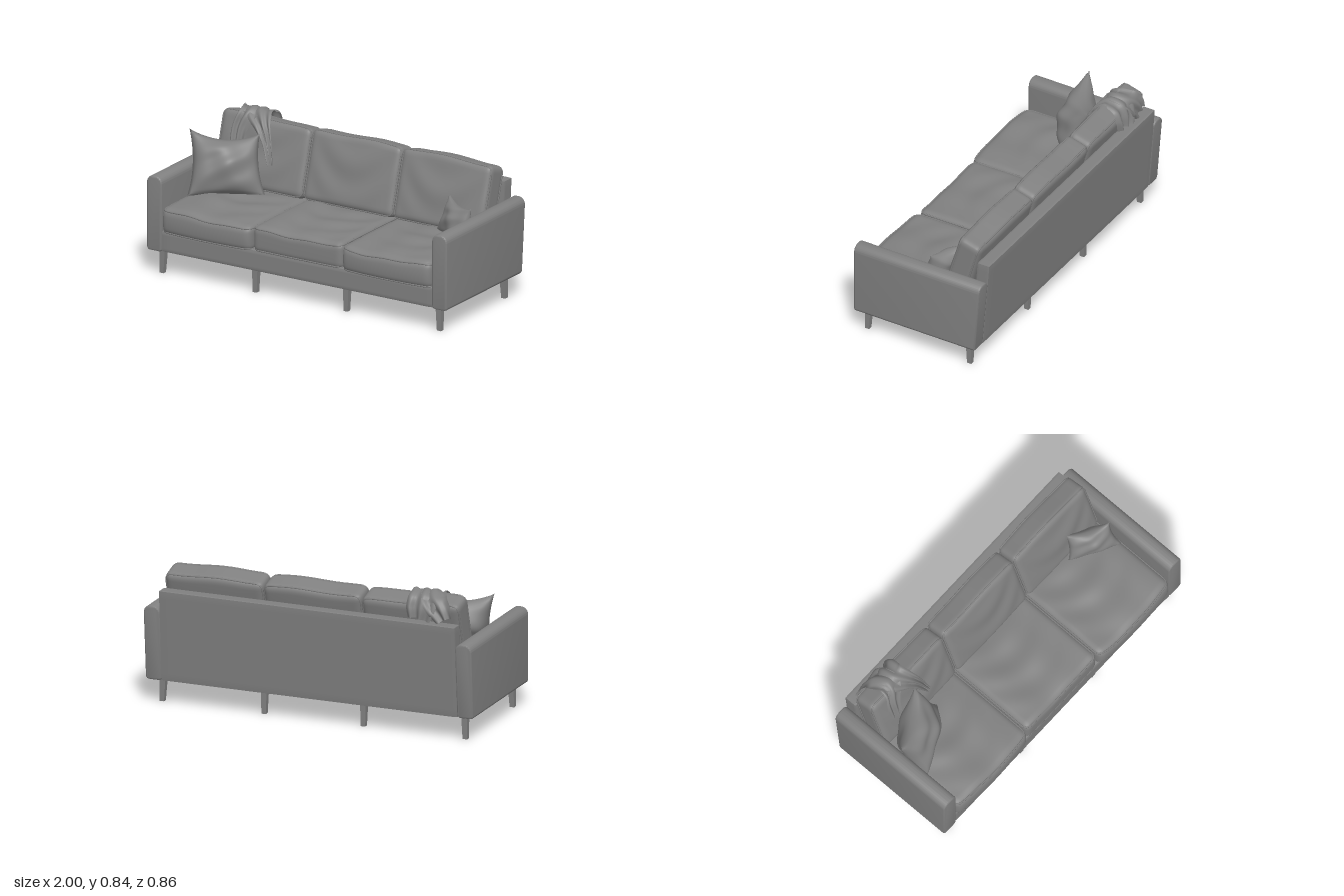
import * as THREE from 'three';
import { mergeVertices, toCreasedNormals } from 'three/addons/utils/BufferGeometryUtils.js';

const V = (x, y, z) => new THREE.Vector3(x, y, z);
const fabric = new THREE.MeshStandardMaterial({ color: 0x808080 });
const cloth = new THREE.MeshStandardMaterial({ color: 0x808080, side: THREE.DoubleSide });

function add(parent, name, geometry, material = fabric) {
  const mesh = new THREE.Mesh(geometry, material);
  mesh.name = name;
  parent.add(mesh);
  return mesh;
}

// Move every vertex by a rule, then weld and smooth
function mould(geometry, rule) {
  const pos = geometry.attributes.position, p = V(0, 0, 0);
  for (let i = 0; i < pos.count; i++) {
    p.fromBufferAttribute(pos, i);
    rule(p);
    pos.setXYZ(i, p.x, p.y, p.z);
  }
  geometry.deleteAttribute('uv');
  geometry.deleteAttribute('normal');
  const welded = mergeVertices(geometry, 1e-5);
  welded.computeVertexNormals();
  return welded;
}

// Box rounded by radius r, then shaped by an extra rule
function softBox(w, h, d, r, segs, rule) {
  const inner = V(w / 2 - r, h / 2 - r, d / 2 - r), core = V(0, 0, 0);
  return mould(new THREE.BoxGeometry(w, h, d, ...segs), p => {
    core.copy(p).clamp(inner.clone().negate(), inner);
    p.sub(core).setLength(r).add(core);
    rule(p);
  });
}

// Closed piping cord on a rounded rectangle, following the cushion's rule
function piping(a, b, r, place, rule) {
  const pts = [];
  for (const [sx, sy, start] of [[1, 1, 0], [-1, 1, 1], [-1, -1, 2], [1, -1, 3]]) {
    for (let k = 0; k <= 4; k++) {
      const t = (start + k / 4) * Math.PI / 2;
      pts.push([sx * (a - r) + r * Math.cos(t), sy * (b - r) + r * Math.sin(t)]);
    }
    const horizontal = sx * sy > 0;
    for (let k = 1; k < 8; k++) {
      const f = 1 - k / 4;
      pts.push(horizontal ? [sx * (a - r) * f, sy * b] : [sx * a, sy * (b - r) * f]);
    }
  }
  const path = pts.map(([u, v]) => { const p = place(u, v); rule(p); return p; });
  return new THREE.TubeGeometry(new THREE.CatmullRomCurve3(path, true), 120, 0.0055, 6, true);
}

// Stuffed pillow spanned by four corners: top left, top right, bottom left, bottom right
function pillow(tl, tr, bl, br, thick, n = 28) {
  const normal = tr.clone().sub(bl).cross(tl.clone().sub(br)).normalize();
  return mould(new THREE.BoxGeometry(2, 2, 1, n, n, 1), p => {
    const side = Math.sign(p.z), fx = 1 - p.x * p.x, fy = 1 - p.y * p.y;
    const pinch = p.y > 0 ? 0.26 : 0.1;
    const u = (1 + p.x * (1 - 0.12 * fy)) / 2, v = (1 + p.y * (1 - pinch * fx)) / 2;
    const crease = 1 + 0.14 * Math.sin(5 * p.x - 3 * p.y + side) * Math.cos(4 * p.y + p.x);
    const bulge = side * thick / 2 * Math.pow(fx * fy, 0.6) * crease;
    const top = tl.clone().lerp(tr, u), bottom = bl.clone().lerp(br, u);
    p.copy(bottom.lerp(top, v)).addScaledVector(normal, bulge + 0.012 * Math.sin(4 * p.x + 3 * p.y) * fy);
  });
}

// Draped strip of cloth: path points, widths along it, ripple depth
function drape(points, widths, ripple, folds) {
  const curve = new THREE.CatmullRomCurve3(points);
  return mould(new THREE.PlaneGeometry(1, 1, 24, 40), p => {
    const s = p.x, t = p.y + 0.5;
    const f = t * (widths.length - 1), i = Math.min(Math.floor(f), widths.length - 2);
    const w = THREE.MathUtils.lerp(widths[i], widths[i + 1], f - i);
    const tangent = curve.getTangent(t);
    const across = V(1, 0, 0).addScaledVector(tangent, -tangent.x).normalize();
    const out = across.clone().cross(tangent).normalize();
    const wave = Math.sin(s * folds * 2 * Math.PI + 3 * t) + 0.4 * Math.sin(s * 17 + t * 9);
    p.copy(curve.getPoint(t)).addScaledVector(across, s * w).addScaledVector(out, ripple * wave);
    p.y -= 0.05 * s * s;
  });
}

export function createModel() {
  const sofa = new THREE.Group();
  sofa.name = 'sofa';
  const slant = (p, z0) => { if (p.z < z0) p.z -= 0.08 * (p.y - 0.14); };

  // Arms: rounded front profile run along z, with a raked rear
  for (const s of [-1, 1]) {
    const w = 0.041, lo = 0.146, hi = 0.571, r = 0.034, q = 0.012, b = 0.009;
    const shape = new THREE.Shape();
    shape.absarc(w - r, hi - r, r, 0, Math.PI / 2);
    shape.absarc(-w + r, hi - r, r, Math.PI / 2, Math.PI);
    shape.absarc(-w + q, lo + q, q, Math.PI, Math.PI * 1.5);
    shape.absarc(w - q, lo + q, q, Math.PI * 1.5, Math.PI * 2);
    const geo = new THREE.ExtrudeGeometry(shape, {
      depth: 0.769, bevelEnabled: true, bevelSize: b, bevelThickness: b, bevelSegments: 3, curveSegments: 8,
    });
    geo.translate(s * 0.95, 0, -0.379);
    const arm = mould(geo, p => slant(p, 0));
    add(sofa, s > 0 ? 'leftArm' : 'rightArm', toCreasedNormals(arm, 0.7));
  }

  // Base under the seat and raked back panel
  const base = softBox(1.81, 0.125, 0.765, 0.012, [60, 10, 50], p => { p.y += 0.2005; p.z += 0.0125; });
  add(sofa, 'base', toCreasedNormals(base, 0.6));
  const panel = softBox(1.806, 0.538, 0.08, 0.007, [60, 24, 10], p => {
    p.y += 0.407;
    p.z += -0.349;
    slant(p, 1);
  });
  add(sofa, 'backPanel', toCreasedNormals(panel, 0.6));

  // Seat and back cushions, three of each
  [-1, 0, 1].forEach((k, i) => {
    const x0 = k * 0.6, forward = k ? 0.028 : 0.003;
    const seatRule = p => {
      const fx = Math.max(0, 1 - (p.x / 0.3) ** 2), fz = Math.max(0, 1 - (p.z / 0.31) ** 2);
      const up = THREE.MathUtils.smoothstep(p.y, -0.07, 0.07);
      const front = THREE.MathUtils.smoothstep(p.z, 0.1, 0.3);
      p.y += up * (0.022 * Math.sqrt(fx * fz) - 0.006 * Math.cos(p.x * 9 + k)
        + 0.006 * fx * fz * Math.sin(30 * p.z + 60 * p.x * p.x + k) + 0.003 * Math.sin(p.x * 24 + 2 * k));
      p.z += front * (forward * Math.sqrt(fx) + 0.01 * Math.max(0, 1 - (p.y / 0.075) ** 2) * (k ? 1 : 0.2));
    };
    const seat = new THREE.Group();
    seat.name = 'seatCushion' + (i + 1);
    seat.position.set(x0, 0.323, 0.084);
    add(seat, 'seatPad', softBox(0.596, 0.148, 0.62, 0.035, [40, 14, 40], seatRule));
    for (const y of [-0.06, 0.06])
      add(seat, 'seatPiping', piping(0.293, 0.304, 0.035, (u, v) => V(u, y, v), seatRule));
    sofa.add(seat);

    const backRule = p => {
      const fx = Math.max(0, 1 - (p.x / 0.3) ** 2), fy = Math.max(0, 1 - (p.y / 0.21) ** 2);
      const top = THREE.MathUtils.smoothstep(p.y, 0, 0.2), side = p.z / 0.07;
      p.z += side * 0.014 * Math.sqrt(fx * fy)
        + (p.z > 0 ? 0.006 * fx * fy * Math.sin(26 * p.y - 80 * p.x * p.x + 2 * k) : 0);
      p.y += top * (0.006 * fx + 0.004 * Math.sin(14 * p.x + 2 * k) + (k < 0 ? 0.003 - 0.04 * p.x : -0.015 * p.x * k));
    };
    const back = new THREE.Group();
    back.name = 'backCushion' + (i + 1);
    back.position.set(x0, 0.588, -0.243);
    back.rotation.x = -0.28;
    add(back, 'backPad', softBox(0.596, 0.405, 0.14, 0.032, [40, 28, 14], backRule));
    for (const z of [-0.056, 0.056])
      add(back, 'backPiping', piping(0.293, 0.197, 0.035, (u, v) => V(u, v, z), backRule));
    sofa.add(back);
  });

  // Eight tapered legs, vertical on their outer faces
  for (const x of [-0.92, -0.303, 0.303, 0.92]) for (const s of [-1, 1]) {
    const sx = Math.abs(x) > 0.5 ? Math.sign(x) : 0;
    const geo = new THREE.BoxGeometry(0.036, 0.145, 0.036);
    const leg = mould(geo, p => {
      if (p.y < 0) { p.x = p.x * 0.75 + sx * 0.0045; p.z = p.z * 0.75 + s * 0.0045; }
    });
    add(sofa, s > 0 ? 'frontLeg' : 'backLeg', toCreasedNormals(leg, 0.5))
      .position.set(x, 0.0725, s > 0 ? 0.344 : -0.315);
  }

  // Loose pillows leaning in the corners
  add(sofa, 'largePillow', pillow(V(-0.95, 0.755, 0.03), V(-0.61, 0.73, -0.17),
    V(-0.88, 0.405, 0.165), V(-0.51, 0.395, -0.08), 0.22));
  add(sofa, 'smallPillow', pillow(V(0.655, 0.615, -0.165), V(0.885, 0.6, -0.035),
    V(0.61, 0.41, -0.1), V(0.89, 0.405, 0.055), 0.12));

  // Crumpled throw over the top of one back cushion
  const blanket = new THREE.Group();
  blanket.name = 'throwBlanket';
  add(blanket, 'longFold', drape([V(-0.525, 0.57, -0.143), V(-0.57, 0.69, -0.178), V(-0.62, 0.785, -0.208),
    V(-0.67, 0.835, -0.27), V(-0.68, 0.815, -0.35), V(-0.67, 0.75, -0.38), V(-0.66, 0.69, -0.385)],
  [0.04, 0.07, 0.11, 0.17, 0.19, 0.18, 0.14], 0.009, 2.5), cloth);
  add(blanket, 'shortFold', drape([V(-0.77, 0.63, -0.16), V(-0.76, 0.74, -0.192), V(-0.73, 0.815, -0.23),
    V(-0.72, 0.838, -0.28), V(-0.75, 0.81, -0.355), V(-0.79, 0.76, -0.38), V(-0.82, 0.7, -0.385)],
  [0.08, 0.1, 0.12, 0.14, 0.15, 0.14, 0.1], 0.008, 2), cloth);
  sofa.add(blanket);

  return sofa;
}
